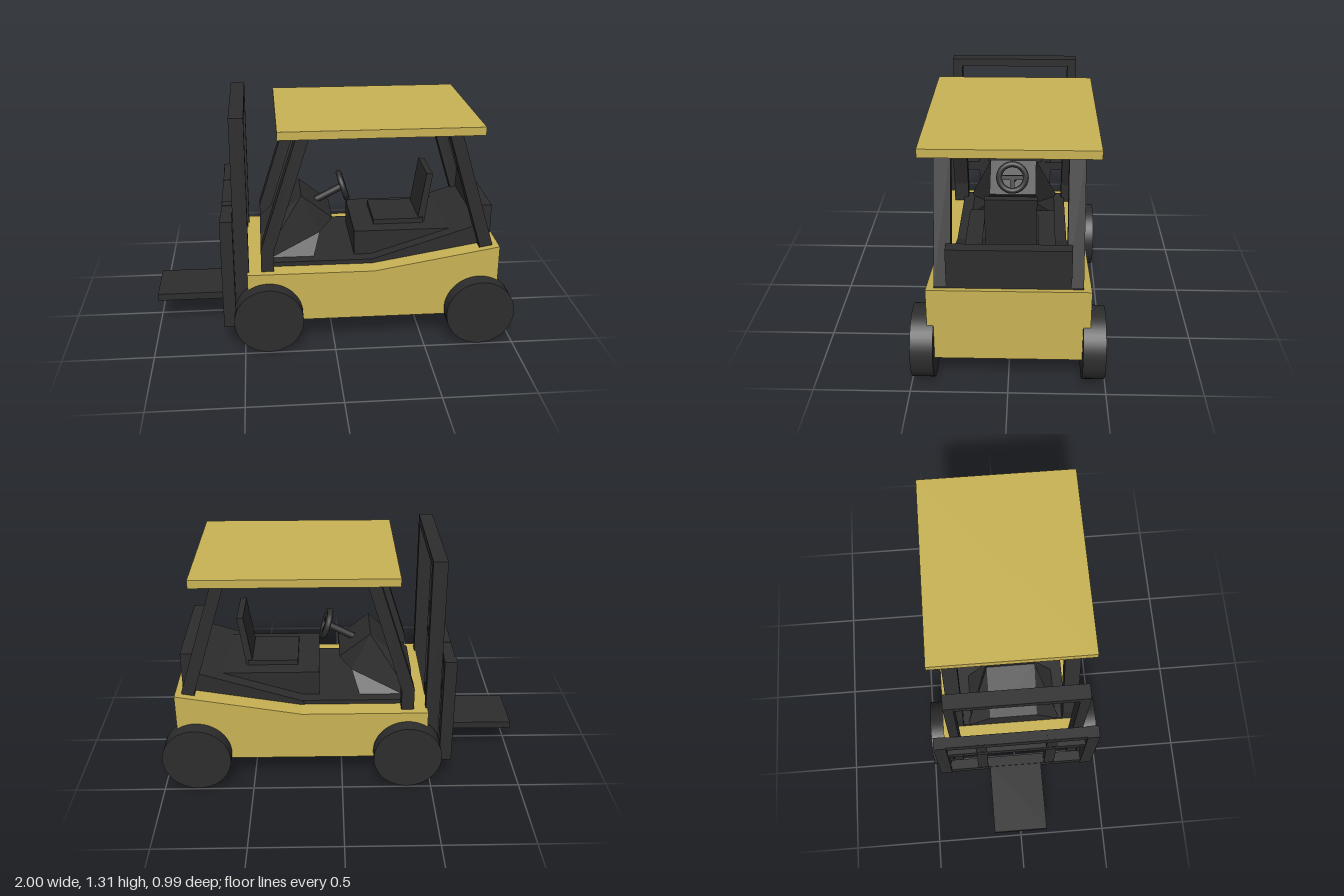
import * as THREE from 'three';

const yellow = new THREE.MeshStandardMaterial({ color: 0xc9b354 });
const dark = new THREE.MeshStandardMaterial({ color: 0x2d2d2d });

export function createModel() {
  const model = new THREE.Group();

  const add = (name, geometry, material = dark) => {
    const mesh = new THREE.Mesh(geometry, material);
    mesh.name = name;
    model.add(mesh);
    return mesh;
  };
  // Box given by its extents on each axis
  const box = (name, [x0, x1], [y0, y1], [z0, z1], material) => {
    const mesh = add(name, new THREE.BoxGeometry(x1 - x0, y1 - y0, z1 - z0), material);
    mesh.position.set((x0 + x1) / 2, (y0 + y1) / 2, (z0 + z1) / 2);
    return mesh;
  };
  // Side profile extruded across z
  const slab = (name, points, z0, z1, material) => {
    const shape = new THREE.Shape(points.map(([x, y]) => new THREE.Vector2(x, y)));
    const geometry = new THREE.ExtrudeGeometry(shape, { depth: z1 - z0, bevelEnabled: false });
    geometry.translate(0, 0, z0);
    return add(name, geometry, material);
  };

  // Body and roof
  slab('body', [[-0.477, 0.15], [0.915, 0.15], [0.915, 0.555], [0.22, 0.435], [-0.477, 0.435]],
    -0.415, 0.41, yellow);
  box('roof', [-0.3, 0.785], [1.21, 1.255], [-0.445, 0.438], yellow);

  // Wheels
  for (const x of [-0.365, 0.81]) {
    for (const side of [-1, 1]) {
      const wheel = add(x < 0 ? 'frontWheel' : 'rearWheel', new THREE.CylinderGeometry(0.19, 0.19, 0.116, 48));
      wheel.rotation.x = Math.PI / 2;
      wheel.position.set(x, 0.19, side * 0.435);
    }
  }

  // Roof pillars
  for (const [z0, z1] of [[-0.375, -0.292], [0.285, 0.37]]) {
    slab('frontPillar', [[-0.4, 0.42], [-0.33, 0.42], [-0.33, 0.55], [-0.125, 1.215], [-0.195, 1.215], [-0.4, 0.56]], z0, z1);
    slab('rearPillar', [[0.81, 0.5], [0.88, 0.5], [0.88, 0.56], [0.675, 1.215], [0.605, 1.215], [0.81, 0.55]], z0, z1);
  }

  // Cabin floor, rear cover and rear panel
  box('floor', [-0.4, 0.3], [0.42, 0.46], [-0.31, 0.31]);
  slab('rearCover', [[0.2, 0.42], [0.85, 0.52], [0.85, 0.66], [0.8, 0.645], [0.22, 0.46]], -0.315, 0.31);
  slab('rearPanel', [[0.81, 0.5], [0.88, 0.5], [0.88, 0.765], [0.815, 0.765]], -0.315, 0.31);

  // Seat
  box('seatBase', [0.125, 0.66], [0.44, 0.602], [-0.24, 0.24]);
  box('seatCushion', [0.245, 0.53], [0.6, 0.63], [-0.15, 0.15]);
  slab('seatBack', [[0.5, 0.6], [0.54, 0.6], [0.58, 0.89], [0.545, 0.894]], -0.14, 0.132);

  // Dashboard, flared towards the floor
  const dash = slab('dashboard', [[-0.4, 0.44], [-0.11, 0.44], [-0.06, 0.56], [0.01, 0.645], [-0.165, 0.785], [-0.4, 0.56]], -0.135, 0.135);
  const p = dash.geometry.attributes.position;
  for (let i = 0; i < p.count; i++) {
    if (p.getY(i) < 0.5) p.setZ(i, p.getZ(i) * 2);
  }
  dash.geometry.computeVertexNormals();

  // Steering wheel and column; the wheel's axis follows the tilt
  const steering = new THREE.Group();
  steering.name = 'steeringWheel';
  const ring = new THREE.Mesh(new THREE.TorusGeometry(0.076, 0.017, 10, 32), dark);
  ring.name = 'steeringRing';
  const spoke = new THREE.Mesh(new THREE.BoxGeometry(0.15, 0.025, 0.018), dark);
  spoke.name = 'steeringSpoke';
  const lowerSpoke = new THREE.Mesh(new THREE.BoxGeometry(0.025, 0.075, 0.018), dark);
  lowerSpoke.name = 'steeringLowerSpoke';
  lowerSpoke.position.y = -0.0375;
  steering.add(ring, spoke, lowerSpoke);
  steering.position.set(0.082, 0.787, 0);
  steering.lookAt(0.082 + 0.175, 0.787 + 0.055, 0);
  model.add(steering);
  const column = new THREE.LineCurve3(new THREE.Vector3(-0.12, 0.68, 0), new THREE.Vector3(0.085, 0.787, 0));
  add('steeringColumn', new THREE.TubeGeometry(column, 1, 0.02, 16));

  // Mast
  const mastX = [-0.545, -0.467];
  for (const [z0, z1] of [[-0.366, -0.315], [0.315, 0.37]]) box('mastPost', mastX, [0.15, 1.312], [z0, z1]);
  box('mastTopBar', mastX, [1.268, 1.312], [-0.32, 0.32]);

  // Lifting carriage: posts, uprights and crossbars
  const carriageX = [-0.612, -0.545];
  for (const side of [-1, 1]) {
    const span = (a, b) => [Math.min(side * a, side * b), Math.max(side * a, side * b)];
    box('carriagePost', carriageX, [0.15, 0.775], span(0.39, 0.457));
    box('carriageUpright', [-0.605, -0.55], [0.16, 0.778], span(0.168, 0.228));
  }
  for (const [y0, y1] of [[0.15, 0.21], [0.55, 0.605], [0.715, 0.775]]) {
    box('carriageCrossbar', [-0.607, -0.548], [y0, y1], [-0.4, 0.4]);
  }

  // Fork plate
  box('fork', [-1, -0.58], [0.162, 0.203], [-0.158, 0.15]);

  return model;
}
